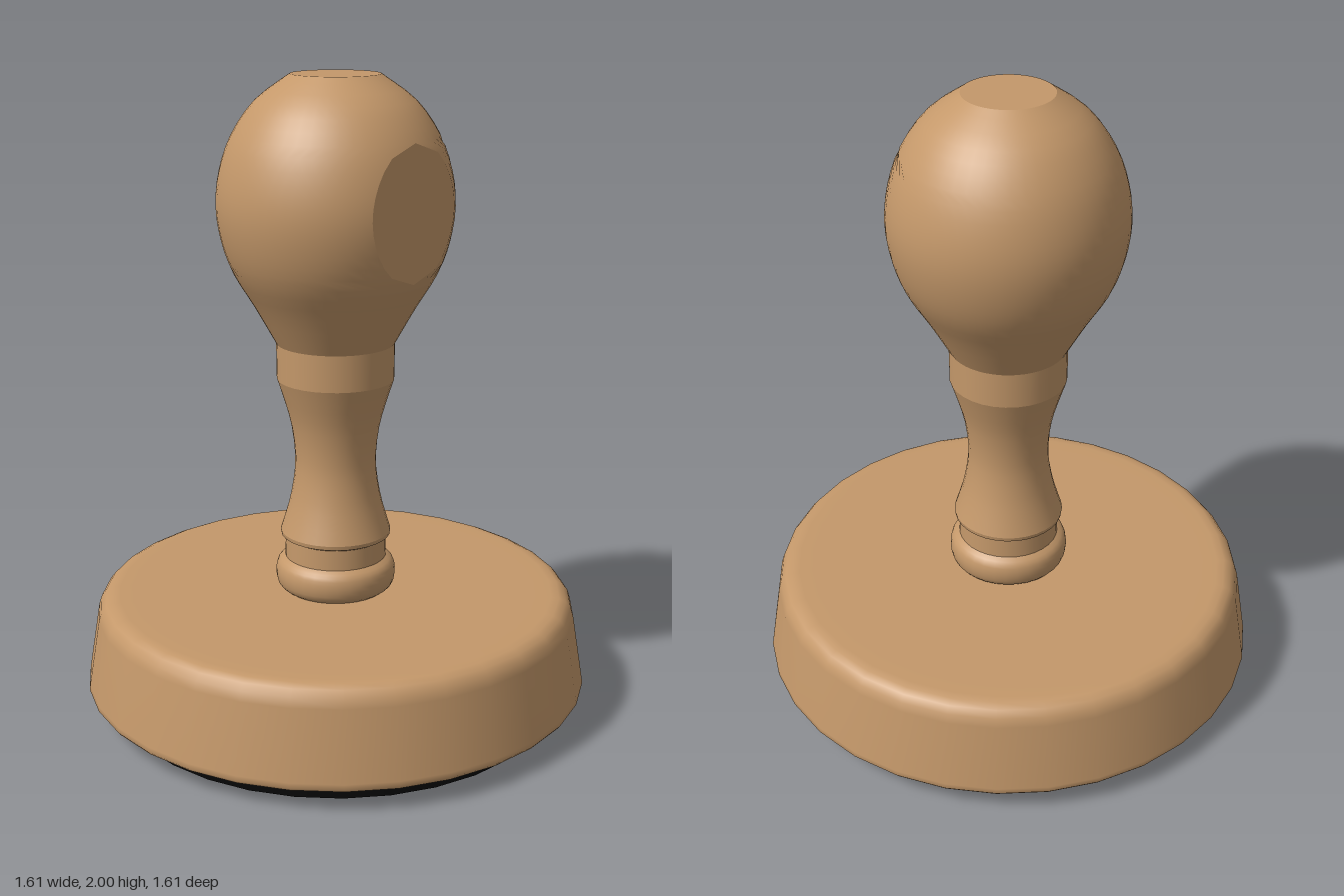
import * as THREE from 'three';

const SEGMENTS = 32;
const FLAT_Z = 0.315; // depth of the thumb flat on the knob

const wood = new THREE.MeshStandardMaterial({ name: 'wood', color: 0xc4986a });
const rubber = new THREE.MeshStandardMaterial({ name: 'black rubber', color: 0x070707 });

const toPoints = (pairs) => pairs.map(([r, y]) => new THREE.Vector2(r, y));
const smooth = (pairs, steps) =>
  new THREE.SplineCurve(toPoints(pairs)).getPoints((pairs.length - 1) * steps);

// Turned part made of several profile runs, with a sharp edge between runs
function turned(name, material, runs) {
  const group = new THREE.Group();
  group.name = name;
  runs.forEach((points, i) => {
    const mesh = new THREE.Mesh(new THREE.LatheGeometry(points, SEGMENTS), material);
    mesh.name = `${name}Section${i + 1}`;
    group.add(mesh);
  });
  return group;
}

// Egg-shaped knob with a flat facet on the front
function makeKnob() {
  const group = new THREE.Group();
  group.name = 'knob';
  const profile = smooth([
    [0.185, 1.18], [0.252, 1.3], [FLAT_Z, 1.405], [0.35, 1.505], [0.364, 1.61],
    [0.352, 1.715], [FLAT_Z, 1.82], [0.243, 1.922], [0.137, 2],
  ], 3);
  const halfAngle = (r) => Math.acos(Math.min(1, FLAT_Z / r));

  // Squeeze each ring round to the back so that it starts and ends at the flat
  const geometry = new THREE.LatheGeometry(profile, 48);
  const up = new THREE.Vector3(0, 1, 0);
  const v = new THREE.Vector3();
  const { position, normal } = geometry.attributes;
  for (let i = 0; i < position.count; i++) {
    const ring = i % profile.length;
    const t = Math.floor(i / profile.length) / 48;
    const turn = halfAngle(profile[ring].x) * (1 - 2 * t);
    for (const attribute of [position, normal]) {
      v.fromBufferAttribute(attribute, i).applyAxisAngle(up, turn);
      attribute.setXYZ(i, v.x, v.y, v.z);
    }
  }
  const body = new THREE.Mesh(geometry, wood);
  body.name = 'knobBody';

  // Oval facet that closes the front
  const rim = profile.filter((p) => p.x > FLAT_Z - 1e-6)
    .map((p) => new THREE.Vector2(p.x * Math.sin(halfAngle(p.x)), p.y));
  const mirrored = rim.slice(1, -1).reverse().map((p) => new THREE.Vector2(-p.x, p.y));
  const facet = new THREE.Mesh(new THREE.ShapeGeometry(new THREE.Shape([...rim, ...mirrored])), wood);
  facet.name = 'thumbFlat';
  facet.position.z = FLAT_Z;

  const top = new THREE.Mesh(new THREE.CircleGeometry(0.137, 48), wood);
  top.name = 'knobTop';
  top.rotation.x = -Math.PI / 2;
  top.position.y = 2;
  group.add(body, facet, top);
  return group;
}

export function createModel() {
  const model = new THREE.Group();
  model.name = 'handStamp';

  // Rubber pad with a narrower backing under the base
  model.add(turned('stampPad', rubber, [
    toPoints([[0, 0], [0.712, 0]]),
    toPoints([[0.712, 0], [0.712, 0.06]]),
    toPoints([[0.712, 0.06], [0.655, 0.06]]),
    toPoints([[0.655, 0.06], [0.655, 0.072]]),
  ]));

  // Tapered round base with a softened rim
  model.add(turned('base', wood, [
    toPoints([[0, 0.07], [0.797, 0.07]]),
    toPoints([[0.797, 0.07], [0.805, 0.08], [0.803, 0.095], [0.767, 0.31], [0.758, 0.338],
      [0.742, 0.358], [0.72, 0.368], [0.695, 0.37], [0.64, 0.37], [0, 0.37]]),
  ]));

  // Rounded bead at the foot of the handle
  model.add(turned('footBead', wood, [
    smooth([[0.165, 0.37], [0.185, 0.388], [0.192, 0.425], [0.184, 0.46], [0.16, 0.48]], 3),
  ]));

  // Waisted shaft with a small lip, and the collar under the knob
  model.add(turned('shaft', wood, [
    toPoints([[0.162, 0.47], [0.16, 0.545]]),
    toPoints([[0.16, 0.545], [0.174, 0.552]]),
    toPoints([[0.174, 0.552], [0.176, 0.565]]),
    smooth([[0.176, 0.565], [0.15, 0.65], [0.134, 0.73], [0.128, 0.81], [0.139, 0.91],
      [0.16, 0.99], [0.184, 1.065]], 2),
  ]));
  model.add(turned('collar', wood, [toPoints([[0.184, 1.065], [0.185, 1.18]])]));

  model.add(makeKnob());
  return model;
}
